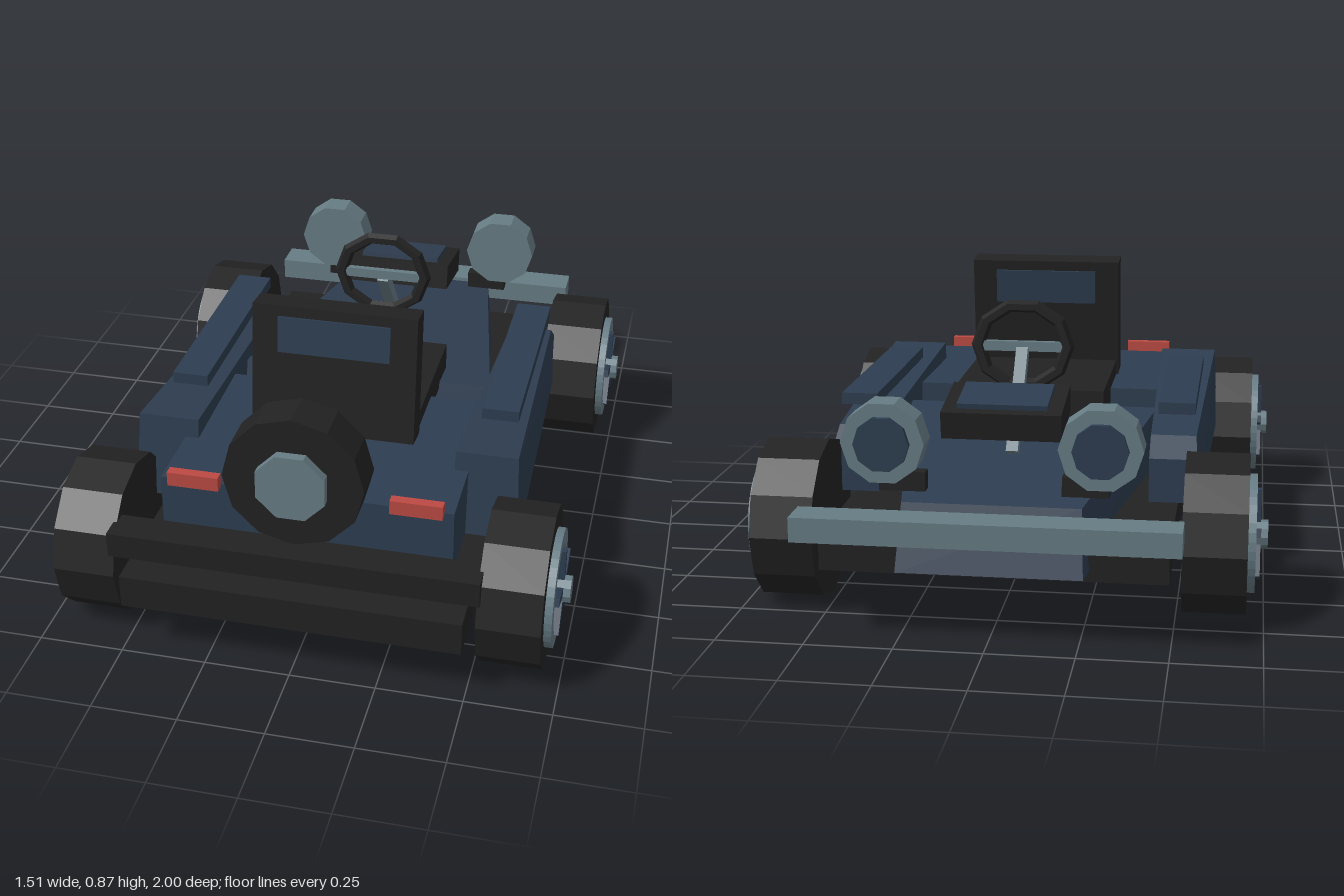
import * as THREE from 'three';
import { ConvexGeometry } from 'three/addons/geometries/ConvexGeometry.js';

const flat = (name, color) => {
  const m = new THREE.MeshStandardMaterial({ color, flatShading: true });
  m.name = name;
  return m;
};

export function createModel() {
  const black = flat('black', 0x222222);
  const navy = flat('navy', 0x2d3d50);
  const steel = flat('steel', 0x677c85);
  const red = flat('red', 0xbb4a42);

  const car = new THREE.Group();
  car.name = 'buggy';

  const add = (name, geo, mat, x = 0, y = 0, z = 0, parent = car) => {
    const m = new THREE.Mesh(geo, mat);
    m.name = name;
    m.position.set(x, y, z);
    parent.add(m);
    return m;
  };
  // box given by its extents
  const box = (name, mat, [x0, x1], [y0, y1], [z0, z1], parent = car) =>
    add(name, new THREE.BoxGeometry(x1 - x0, y1 - y0, z1 - z0), mat,
      (x0 + x1) / 2, (y0 + y1) / 2, (z0 + z1) / 2, parent);
  // convex block through a few corners
  const block = (name, mat, pts) =>
    add(name, new ConvexGeometry(pts.map(p => new THREE.Vector3(...p))), mat);
  // cylinders lying along x or z
  const cylX = (r, len, n) => new THREE.CylinderGeometry(r, r, len, n).rotateZ(Math.PI / 2);
  const cylZ = (r, len, n, turn = 0) =>
    new THREE.CylinderGeometry(r, r, len, n).rotateY(turn).rotateX(Math.PI / 2);

  // chassis and bumpers
  box('chassis', black, [-0.49, 0.49], [0.165, 0.265], [-0.845, 1]);
  box('rearBumper', black, [-0.53, 0.53], [0.31, 0.385], [0.87, 0.97]);
  box('noseBumper', steel, [-0.53, 0.53], [0.295, 0.365], [-1, -0.895]);

  // body: tapered hood and rear deck, open footwell between
  const hood = [];
  for (const s of [-1, 1]) {
    hood.push([s * 0.25, 0.375, -0.85], [s * 0.26, 0.19, -0.91],
      [s * 0.4, 0.45, 0.03], [s * 0.41, 0.262, 0.08]);
  }
  block('hood', navy, hood);
  box('rearDeck', navy, [-0.425, 0.425], [0.278, 0.477], [0.17, 0.79]);

  // seat
  box('seatCushion', black, [-0.238, 0.238], [0.43, 0.525], [-0.085, 0.43]);
  const back = new THREE.Group();
  back.name = 'seatBack';
  back.position.set(0, 0.68, 0.41);
  back.rotation.x = -0.11;
  car.add(back);
  box('backrest', black, [-0.245, 0.245], [-0.2, 0.192], [-0.043, 0.043], back);
  box('backrestPanel', navy, [-0.167, 0.167], [0.05, 0.16], [-0.05, 0.05], back);

  // steering wheel and column
  const rim = add('steeringWheel', new THREE.TorusGeometry(0.138, 0.021, 6, 10), black, 0, 0.692, -0.212);
  rim.scale.y = 0.92;
  box('steeringCrossbar', steel, [-0.125, 0.125], [0.675, 0.705], [-0.222, -0.202]);
  const column = box('steeringColumn', steel, [-0.018, 0.018], [-0.018, 0.018], [-0.175, 0.175]);
  column.position.set(0, 0.545, -0.33);
  column.rotation.x = -Math.atan2(0.25, 0.21);

  // raised hood scoop
  const scoop = new THREE.Group();
  scoop.name = 'hoodScoop';
  scoop.position.set(0, 0.567, -0.553);
  scoop.rotation.x = -0.16;
  car.add(scoop);
  box('scoopBox', black, [-0.172, 0.172], [-0.04, 0.04], [-0.116, 0.116], scoop);
  box('scoopPanel', navy, [-0.13, 0.13], [0.04, 0.055], [-0.084, 0.084], scoop);

  // spare wheel
  add('spareTire', cylZ(0.2, 0.12, 12), black, 0, 0.595, 0.855);
  add('spareHub', cylZ(0.105, 0.03, 8, Math.PI / 8), steel, 0, 0.595, 0.928);

  for (const s of [-1, 1]) {
    const span = (a, b) => (s > 0 ? [a, b] : [-b, -a]);

    // side pods with a strip on top
    block('sidePod', navy, [
      [0.385, 0.535, 0.56], [0.567, 0.535, 0.56], [0.385, 0.278, 0.59], [0.58, 0.278, 0.59],
      [0.405, 0.465, -0.37], [0.54, 0.465, -0.37], [0.405, 0.41, -0.44], [0.545, 0.41, -0.44],
      [0.405, 0.278, -0.44], [0.555, 0.278, -0.44],
    ].map(([x, y, z]) => [s * x, y, z]));
    box('podStrip', navy, span(0.425, 0.535), [0.525, 0.56], [-0.355, 0.345]);

    // lights
    box('tailLight', red, span(0.247, 0.397), [0.468, 0.511], [0.785, 0.815]);
    add('headlight', cylZ(0.117, 0.09, 10, Math.PI / 2), steel, s * 0.3, 0.54, -0.81);
    add('headlightLens', cylZ(0.078, 0.02, 10, Math.PI / 2), navy, s * 0.3, 0.54, -0.862);
    box('headlightBracket', black, span(0.19, 0.32), [0.395, 0.45], [-0.81, -0.77]);
  }

  // axles and wheels
  const ringShape = new THREE.Shape().absarc(0, 0, 0.17, 0, Math.PI * 2);
  ringShape.holes.push(new THREE.Path().absarc(0, 0, 0.125, 0, Math.PI * 2, true));
  const ringGeo = new THREE.ExtrudeGeometry(ringShape, { depth: 0.022, bevelEnabled: false, curveSegments: 20 })
    .rotateY(Math.PI / 2);
  for (const z of [-0.575, 0.735]) {
    add('axle', cylX(0.014, 1.2, 8), steel, 0, 0.24, z);
    for (const s of [-1, 1]) {
      const wheel = new THREE.Group();
      wheel.name = 'wheel';
      wheel.position.set(s * 0.61, 0.238, z);
      wheel.rotation.y = s > 0 ? 0 : Math.PI;
      car.add(wheel);
      add('tire', cylX(0.235, 0.18, 12), black, 0, 0, 0, wheel);
      add('rimRing', ringGeo, steel, 0.09, 0, 0, wheel);
      add('hub', cylX(0.04, 0.065, 10), steel, 0.113, 0, 0, wheel);
      for (let i = 0; i < 5; i++) {
        const geo = new THREE.BoxGeometry(0.035, 0.115, 0.026).translate(0, 0.075, 0);
        add('spoke', geo, navy, 0.1075, 0, 0, wheel).rotation.x = (i * Math.PI * 2) / 5;
      }
    }
  }
  return car;
}
